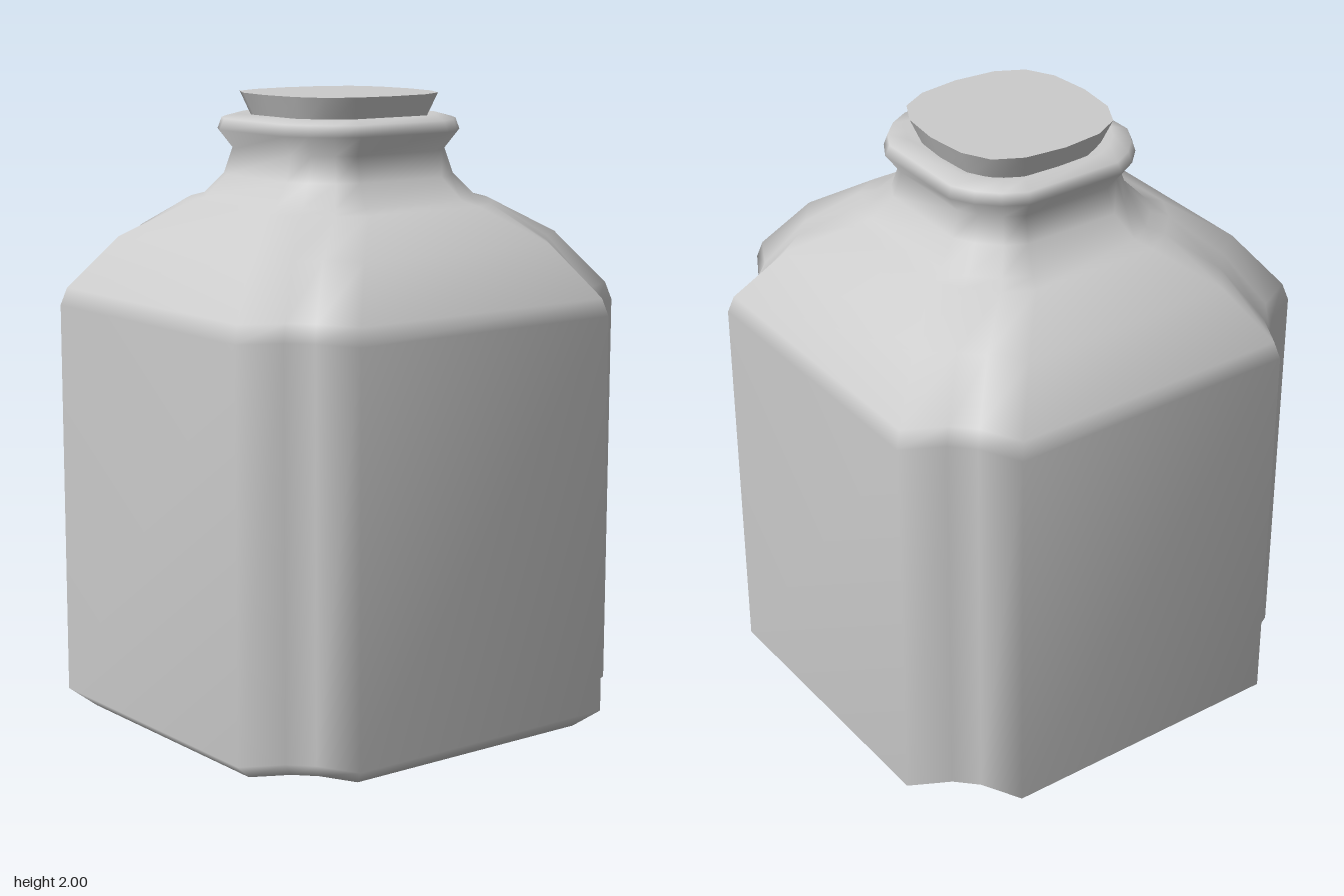
import * as THREE from 'three';

// One corner (list of [x, z]) repeated around the four sides
function ring(y, corner) {
  const pts = [];
  for (let k = 0; k < 4; k++) {
    for (const [x, z] of corner) {
      const p = [[x, z], [-z, x], [-x, -z], [z, -x]][k];
      pts.push(new THREE.Vector3(p[0], y, p[1]));
    }
  }
  return pts;
}

// Skin a stack of rings, closing the first and last with a fan
function loft(rings) {
  const n = rings[0].length, last = (rings.length - 1) * n;
  const pos = [], idx = [];
  rings.forEach(r => r.forEach(p => pos.push(p.x, p.y, p.z)));
  const bottom = rings.length * n, top = bottom + 1;
  pos.push(0, rings[0][0].y, 0, 0, rings[rings.length - 1][0].y, 0);
  for (let j = 0; j < n; j++) {
    const k = (j + 1) % n;
    for (let i = 0; i < last; i += n) {
      // a repeated ring only splits the normals, so it gets no faces
      if (rings[i / n][0].distanceTo(rings[i / n + 1][0]) < 1e-6) continue;
      idx.push(i + j, i + n + j, i + k, i + k, i + n + j, i + n + k);
    }
    idx.push(bottom, j, k, top, last + k, last + j);
  }
  const g = new THREE.BufferGeometry();
  g.setAttribute('position', new THREE.Float32BufferAttribute(pos, 3));
  g.setIndex(idx);
  g.computeVertexNormals();
  return g;
}

export function createModel() {
  const group = new THREE.Group();
  const mat = new THREE.MeshStandardMaterial({ color: 0xcccccc });
  const add = (name, geometry) => {
    const mesh = new THREE.Mesh(geometry, mat);
    mesh.name = name;
    group.add(mesh);
  };

  // Bottle: y, half width, half length of flat side, corner point (p, q)
  const sections = [
    [0.00, 0.668, 0.435, 0.555, 0.495],   // base
    [0.06, 0.742, 0.483, 0.615, 0.55],
    [1.33, 0.742, 0.483, 0.615, 0.55],    // notched body
    [1.385, 0.725, 0.47, 0.60, 0.535],
    [1.55, 0.60, 0.36, 0.50, 0.435],      // shoulder
    [1.66, 0.435, 0.215, 0.385, 0.305],
    [1.675, 0.385, 0.19, 0.34, 0.27],     // neck
    [1.745, 0.32, 0.16, 0.285, 0.225],
    [1.825, 0.295, 0.15, 0.262, 0.21],
    [1.885, 0.338, 0.17, 0.298, 0.24],    // lip
    [1.92, 0.326, 0.163, 0.288, 0.232],
    [1.935, 0.275, 0.14, 0.245, 0.195],
    [1.92, 0.24, 0.12, 0.21, 0.17]
  ];
  add('bottle', loft(sections.map(([y, w, a, p, q]) =>
    ring(y, [[w, a], [p, q], [q, p], [a, w]]))));

  // Stopper: rounded square flaring upward with a flat top
  const plug = (y, s) => ring(y,
    [[0.285, 0], [0.27, 0.135], [0.223, 0.223], [0.135, 0.27]].map(([x, z]) => [x * s, z * s]));
  add('stopper', loft([plug(1.90, 0.85), plug(1.90, 0.85), plug(2, 1), plug(2, 1)]));

  return group;
}
